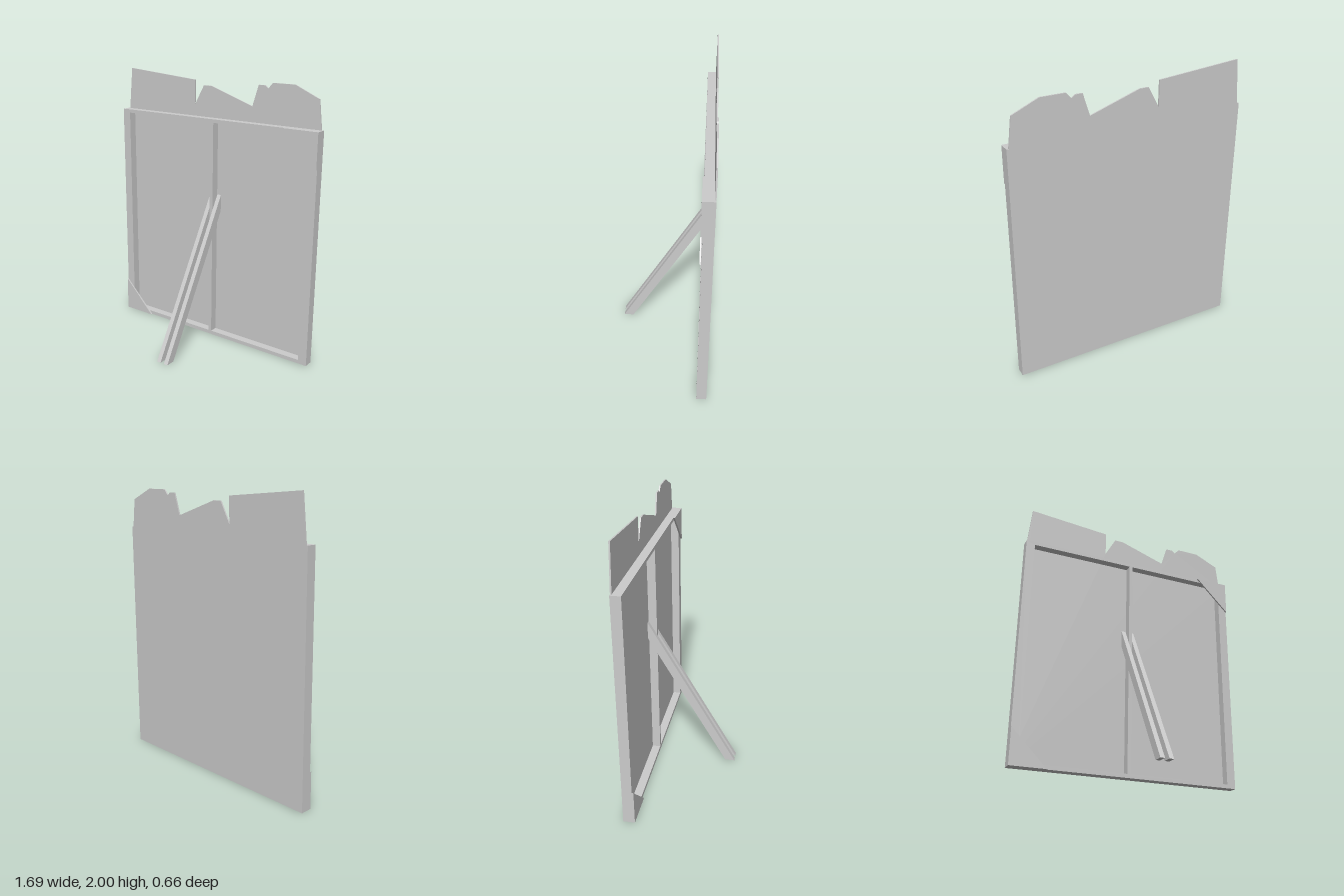
import * as THREE from 'three';

const W = 0.845, H = 1.69;              // half width and height of the frame
const BACK = -0.33, SHEET = -0.32, FRONT = -0.26;

export function createModel() {
  const group = new THREE.Group();
  const material = new THREE.MeshStandardMaterial({ color: 0xcccccc, flatShading: true });

  const add = (name, geometry) => {
    const mesh = new THREE.Mesh(geometry, material);
    mesh.name = name;
    group.add(mesh);
    return mesh;
  };
  const prism = (points, depth) => new THREE.ExtrudeGeometry(
    new THREE.Shape(points.map(([x, y]) => new THREE.Vector2(x, y))),
    { depth, bevelEnabled: false });

  // Thin facing sheet with a cut-out skyline along its top
  const outline = [
    [-W, 0], [W, 0], [W, H], [0.83, H], [0.805, 1.89], [0.625, 1.97], [0.455, 1.97],
    [0.42, 1.93], [0.395, 1.95], [0.345, 1.95], [0.298, 1.8], [-0.05, 1.915],
    [-0.115, 1.915], [-0.195, 1.77], [-0.195, 1.95], [-0.8, 2], [-0.83, H], [-W, H],
  ];
  add('facingSheet', prism(outline, SHEET - BACK)).position.z = BACK;

  // Timber frame: one outline with two openings either side of the centre post
  const frame = new THREE.Shape([
    new THREE.Vector2(-W, 0), new THREE.Vector2(W, 0),
    new THREE.Vector2(W, H), new THREE.Vector2(-W, H),
  ]);
  for (const [x0, x1] of [[-0.78, -0.013], [0.013, 0.78]]) {
    frame.holes.push(new THREE.Path([
      new THREE.Vector2(x0, 0.028), new THREE.Vector2(x0, 1.665),
      new THREE.Vector2(x1, 1.665), new THREE.Vector2(x1, 0.028),
    ]));
  }
  add('frame', new THREE.ExtrudeGeometry(frame, { depth: FRONT - SHEET, bevelEnabled: false }))
    .position.z = SHEET;

  // Triangular corner plates at two opposite corners
  const plates = {
    lowerCornerPlate: [[-W, 0], [-0.59, 0], [-W, 0.258]],
    upperCornerPlate: [[W, H], [0.59, H], [W, 1.44]],
  };
  for (const [name, points] of Object.entries(plates)) {
    add(name, prism(points, 0.012)).position.z = FRONT;
  }

  // Pair of sloping props, cut flat at the floor and against the sheet
  const side = [[0.33, 0], [SHEET, 1.124], [SHEET, 1.0], [0.26, 0]];   // z, y
  for (const [name, x] of [['leftProp', 0.015], ['rightProp', -0.048]]) {
    const prop = add(name, prism(side.map(([z, y]) => [-z, y]), 0.032));
    prop.rotation.y = Math.PI / 2;
    prop.position.x = x;
  }

  return group;
}
